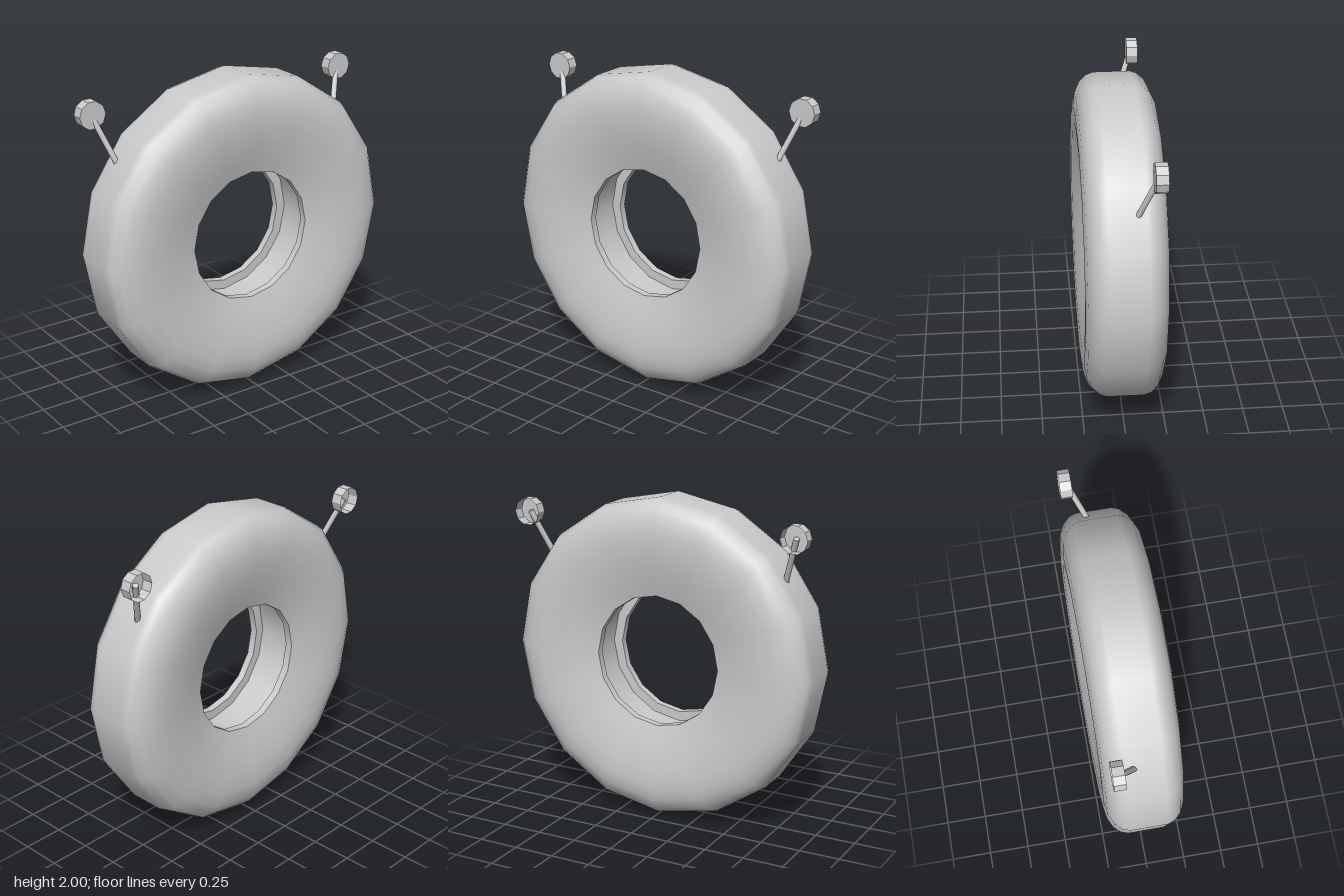
import * as THREE from 'three';

const SIDES = 16;
const grey = (opts = {}) => new THREE.MeshStandardMaterial({ color: 0xcccccc, ...opts });

// Revolve a [radius, z] profile around the z axis
function revolve(profile, sides, start = 0) {
  const points = profile.map(([r, z]) => new THREE.Vector2(r, z));
  return new THREE.LatheGeometry(points, sides, start).rotateX(Math.PI / 2);
}

function named(name, geometry, material) {
  const mesh = new THREE.Mesh(geometry, material);
  mesh.name = name;
  return mesh;
}

function createTyre() {
  const tyre = new THREE.Group();
  tyre.name = 'tyre';
  tyre.position.y = 1;

  // Dished sidewall, rounded shoulder and flat tread, mirrored front to back
  const half = [
    [0.41, 0.172], [0.5, 0.197], [0.6, 0.22], [0.7, 0.236], [0.8, 0.241],
    [0.88, 0.229], [0.945, 0.198], [0.985, 0.155], [1, 0.11],
  ];
  const back = half.map(([r, z]) => [r, -z]);
  tyre.add(named('tyreBody', revolve([...back, ...half.slice().reverse()], SIDES), grey()));

  // Bead lips on either side of a recessed channel; separate bands keep the edges sharp
  const inner = [[0.41, 0.172], [0.41, 0.125], [0.47, 0.125], [0.47, -0.125], [0.41, -0.125], [0.41, -0.172]];
  const names = ['frontLip', 'frontLipInside', 'innerChannel', 'backLipInside', 'backLip'];
  names.forEach((name, i) => {
    tyre.add(named(name, revolve([inner[i], inner[i + 1]], SIDES), grey({ side: THREE.DoubleSide })));
  });
  return tyre;
}

function createStalk(side) {
  const group = new THREE.Group();
  group.name = side > 0 ? 'leftStalk' : 'rightStalk';

  // Thin stem leaning outward and back from the tread
  const path = new THREE.LineCurve3(
    new THREE.Vector3(side * 0.785, 1.555, -0.055),
    new THREE.Vector3(side * 0.89, 1.845, -0.16),
  );
  const length = path.getLength();
  const stem = named('stem', new THREE.CylinderGeometry(0.018, 0.018, length, 8), grey());
  stem.position.copy(path.getPoint(0.5));
  stem.quaternion.setFromUnitVectors(new THREE.Vector3(0, 1, 0), path.getTangent(0));
  group.add(stem);

  // Shallow round cup, closed at the front and open at the back
  const cup = named('cup', revolve([[0.085, -0.035], [0.085, 0.035], [0, 0.035]], 10, Math.PI / 2),
    grey({ flatShading: true, side: THREE.DoubleSide }));
  cup.position.set(side * 0.89, 1.845, -0.168);
  group.add(cup);
  return group;
}

export function createModel() {
  const model = new THREE.Group();
  model.name = 'tyreWithStalks';
  model.add(createTyre(), createStalk(1), createStalk(-1));
  return model;
}
